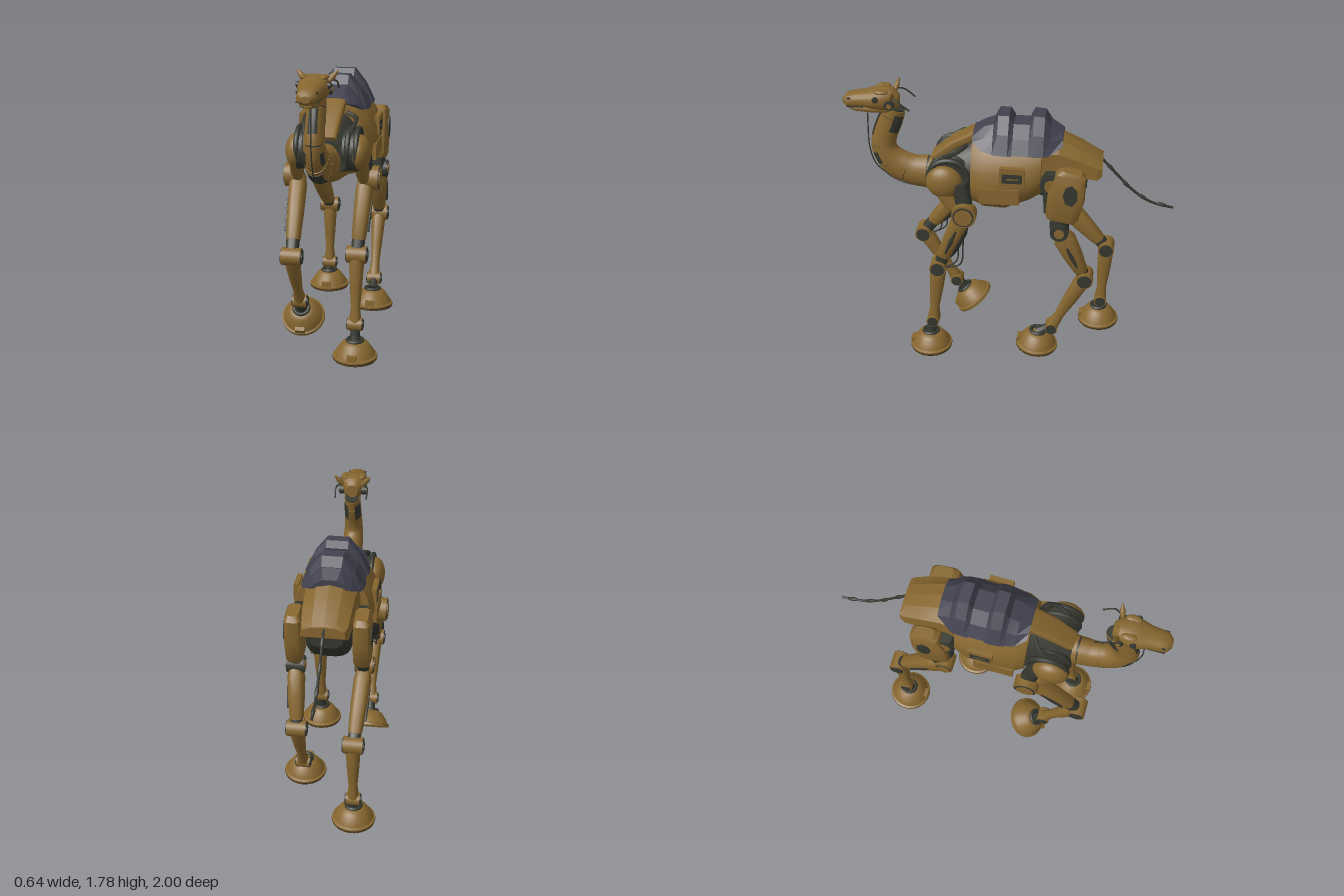
import * as THREE from 'three';
import { toCreasedNormals } from 'three/addons/utils/BufferGeometryUtils.js';

const mat = (name, color) => Object.assign(new THREE.MeshStandardMaterial({ color }), { name });
const V = (x, y, z) => new THREE.Vector3(x, y, z);

export function createModel() {
  const root = new THREE.Group();
  root.name = 'mechanicalCamel';
  const ochre = mat('ochre armour', 0x86662f);
  const dark = mat('dark machinery', 0x35372f);
  const slate = mat('slate hump plates', 0x424250);
  const brown = mat('dark brown sole', 0x3c3020);

  const add = (name, geo, material, parent = root) => {
    const m = new THREE.Mesh(geo, material);
    m.name = name;
    parent.add(m);
    return m;
  };

  // Rounded cross-section; a higher power is boxier, taper narrows the top
  const oval = (power = 2, taper = 0, n = 20) => Array.from({ length: n }, (_, i) => {
    const a = ((i + 0.5) / n) * Math.PI * 2, c = Math.cos(a), s = Math.sin(a);
    const f = v => Math.sign(v) * Math.abs(v) ** (2 / power);
    return [f(c) * (1 - taper * Math.max(0, f(s))), f(s)];
  });
  // Pie slice of a round section, angles in degrees
  const sector = (a0, a1) => [[0, 0], ...Array.from({ length: 7 }, (_, i) => {
    const a = THREE.MathUtils.degToRad(a0 + ((a1 - a0) * i) / 6);
    return [Math.cos(a), Math.sin(a)];
  })];

  // Skin through rings [x, y, z, halfWidth, halfHeight]; upright rings run towards +z
  function loft(rings, prof = oval(), upright = false, crease = 0.6) {
    const pos = [], idx = [], n = prof.length, c = rings.map(r => V(r[0], r[1], r[2]));
    rings.forEach((r, i) => {
      const T = upright ? V(0, 0, 1)
        : c[Math.min(i + 1, c.length - 1)].clone().sub(c[Math.max(i - 1, 0)]).normalize();
      const S = V(1, 0, 0).addScaledVector(T, -T.x).normalize(), N = T.clone().cross(S);
      for (const [u, v] of prof) {
        pos.push(...c[i].clone().addScaledVector(S, u * r[3]).addScaledVector(N, v * r[4]).toArray());
      }
    });
    const last = (rings.length - 1) * n, a = pos.length / 3;
    pos.push(...c[0].toArray(), ...c[c.length - 1].toArray());
    for (let j = 0; j < n; j++) {
      const k = (j + 1) % n;
      for (let i = 0; i < last; i += n) idx.push(i + j, i + k, i + n + j, i + k, i + n + k, i + n + j);
      idx.push(a, k, j, a + 1, last + j, last + k);
    }
    const g = new THREE.BufferGeometry();
    g.setAttribute('position', new THREE.Float32BufferAttribute(pos, 3));
    g.setIndex(idx);
    return toCreasedNormals(g, crease);
  }

  // Straight limb from a to b with stops [t, halfWidth, halfDepth]
  const limb = (name, a, b, stops, material, power = 3) => add(name, loft(stops.map(([t, w, h]) =>
    [...V(...a).lerp(V(...b), t).toArray(), w, h]), oval(power, 0, 16)), material);
  const cable = (name, pts, r) => add(name, new THREE.TubeGeometry(
    new THREE.CatmullRomCurve3(pts.map(p => V(...p))), 24, r, 6), dark);
  const box = (name, w, h, d, p, material) => add(name, new THREE.BoxGeometry(w, h, d), material).position.set(...p);
  // Round joint whose axle runs along x: hub, ring and pin
  const joint = (name, p, r, w, hub, ring, pin, pinSize = 0.5) => {
    const g = new THREE.Group();
    g.name = name;
    g.position.set(...p);
    root.add(g);
    [['Hub', 1, 0, hub], ['Ring', 0.85, 0.01, ring], ['Pin', pinSize, 0.018, pin]].forEach(([part, k, extra, m]) =>
      add(name + part, new THREE.CylinderGeometry(r * k, r * k, w + extra, 24).rotateZ(Math.PI / 2), m, g));
  };

  // Body shell, rump and dark inner frames
  add('bodyShell', loft([
    [0, 1.345, -0.2, 0.22, 0.195], [0, 1.325, -0.13, 0.24, 0.22], [0, 1.295, 0.02, 0.25, 0.26],
    [0, 1.285, 0.15, 0.24, 0.245], [0, 1.285, 0.22, 0.205, 0.215]], oval(2.6, 0.35, 28), true), ochre);
  add('rump', loft([
    [0, 1.335, -0.56, 0.125, 0.035], [0, 1.335, -0.53, 0.14, 0.055], [0, 1.38, -0.42, 0.15, 0.08],
    [0, 1.41, -0.3, 0.155, 0.11], [0, 1.405, -0.19, 0.17, 0.13]],
  [[1, -1], [0.95, 0.3], [0.5, 0.85], [0, 1], [-0.5, 0.85], [-0.95, 0.3], [-1, -1]], true, 0.2), ochre);
  add('pelvis', loft([[0, 1.25, -0.47, 0.1, 0.07], [0, 1.2, -0.36, 0.14, 0.14],
    [0, 1.25, -0.19, 0.17, 0.11]], oval(3), true), dark);
  add('chestFrame', loft([[0, 1.26, 0.2, 0.18, 0.2], [0, 1.25, 0.34, 0.16, 0.16],
    [0, 1.23, 0.47, 0.13, 0.1]], oval(2.5, 0.3), true), dark);
  add('withersPlate', loft([[0, 1.5, 0.2, 0.075, 0.03], [0, 1.43, 0.33, 0.07, 0.03],
    [0, 1.33, 0.46, 0.06, 0.025]], oval(5)), ochre);

  // Hump: five plates, two raised into ridges
  const tent = [[1, -1], [0.72, 0.1], [0.34, 1], [-0.34, 1], [-0.72, 0.1], [-1, -1]];
  [
    [[-0.32, 0.12, 1.48, 1.54], [-0.24, 0.17, 1.44, 1.585]],
    [[-0.245, 0.17, 1.44, 1.585], [-0.21, 0.185, 1.44, 1.64], [-0.145, 0.19, 1.44, 1.645], [-0.122, 0.19, 1.44, 1.6]],
    [[-0.128, 0.183, 1.44, 1.588], [-0.02, 0.183, 1.44, 1.588]],
    [[-0.025, 0.19, 1.44, 1.6], [0, 0.195, 1.44, 1.64], [0.065, 0.19, 1.44, 1.64], [0.092, 0.185, 1.44, 1.585]],
    [[0.085, 0.182, 1.44, 1.585], [0.15, 0.17, 1.45, 1.562], [0.215, 0.13, 1.49, 1.53]],
  ].forEach((seg, i) => add('humpPlate' + (i + 1), loft(
    seg.map(([z, w, lo, hi]) => [0, (lo + hi) / 2, z, w, (hi - lo) / 2]), tent, true, 0.2), slate));

  // Neck: dark core under armour sleeves
  const neck = [
    [0.69, 1.64, 0.05, 0.065], [0.72, 1.56, 0.052, 0.075], [0.76, 1.46, 0.055, 0.075],
    [0.775, 1.38, 0.06, 0.077], [0.75, 1.31, 0.065, 0.085], [0.69, 1.25, 0.07, 0.098],
    [0.6, 1.215, 0.076, 0.1], [0.48, 1.205, 0.088, 0.11], [0.35, 1.17, 0.11, 0.12],
    [0.18, 1.155, 0.15, 0.12]].map(([z, y, w, h]) => [0, y, z, w, h]);
  const sample = t => {
    const i = Math.min(Math.floor(t), neck.length - 2), f = t - i;
    return neck[i].map((_, k) => {
      const [p, a, b, q] = [-1, 0, 1, 2].map(o => neck[THREE.MathUtils.clamp(i + o, 0, neck.length - 1)][k]);
      return a + 0.5 * f * (b - p + f * (2 * p - 5 * a + 4 * b - q + f * (3 * (a - b) + q - p)));
    });
  };
  const sleeve = (name, t0, t1, scale, material, prof = oval()) => add(name, loft(Array.from({ length: 13 }, (_, i) => {
    const r = sample(t0 + ((t1 - t0) * i) / 12);
    return [r[0], r[1], r[2], r[3] * scale, r[4] * scale];
  }), prof), material);
  sleeve('neckCore', 0, 9, 0.93, dark);
  [[0.15, 0.8], [0.86, 2.9], [2.93, 4.4], [4.43, 5.55], [5.58, 6.75], [6.79, 9]]
    .forEach(([a, b], i) => sleeve('neckSleeve' + (i + 1), a, b, 1, ochre));
  sleeve('throatPatch', 0.7, 2.3, 1.04, dark, sector(62, 118));
  sleeve('breastPatch', 4.6, 6, 1.03, dark, sector(55, 125));
  for (const [a, b] of [[195, 245], [295, 345]]) sleeve('napePatch', 0.5, 1.6, 1.04, dark, sector(a, b));
  for (const [a, b] of [[25, 50], [130, 155]]) sleeve('throatSidePatch', 3.3, 4.1, 1.03, dark, sector(a, b));
  cable('throatCable', [[0, 1.62, 0.86], [0, 1.5, 0.865], [0, 1.36, 0.865], [0, 1.24, 0.83], [0, 1.16, 0.74]], 0.004);

  // Head
  add('skull', loft([[0, 1.68, 0.665, 0.035, 0.04], [0, 1.69, 0.7, 0.068, 0.065], [0, 1.695, 0.76, 0.085, 0.072],
    [0, 1.69, 0.82, 0.083, 0.06], [0, 1.685, 0.87, 0.068, 0.05], [0, 1.68, 0.93, 0.063, 0.048],
    [0, 1.675, 0.975, 0.055, 0.04], [0, 1.67, 1, 0.025, 0.018]], oval(2.4), true), ochre);
  add('jaw', loft([[0, 1.635, 0.72, 0.05, 0.03], [0, 1.63, 0.82, 0.052, 0.028],
    [0, 1.632, 0.93, 0.048, 0.022], [0, 1.637, 0.97, 0.03, 0.014]], oval(2.5), true), ochre);
  box('mouthLine', 0.118, 0.006, 0.1, [0, 1.65, 0.92], dark);
  for (const s of [-1, 1]) {
    joint('eye', [s * 0.078, 1.71, 0.79], 0.018, 0.02, dark, dark, dark);
    add('brow', new THREE.SphereGeometry(1, 16, 10).scale(0.024, 0.014, 0.045), ochre)
      .position.set(s * 0.055, 1.75, 0.76);
    joint('cheekDisc', [s * 0.072, 1.675, 0.71], 0.03, 0.02, dark, dark, ochre);
    box('nostril', 0.008, 0.01, 0.025, [s * 0.053, 1.7, 0.955], dark);
    limb('ear', [s * 0.06, 1.71, 0.7], [s * 0.113, 1.775, 0.68],
      [[0, 0.012, 0.012], [0.5, 0.018, 0.016], [1, 0.004, 0.004]], ochre, 2);
    cable('earSpike', [[s * 0.065, 1.73, 0.7], [s * 0.1, 1.71, 0.65], [s * 0.1, 1.66, 0.585]], 0.005);
  }

  // Flanks, shoulders and thighs, mirrored
  for (const s of [-1, 1]) {
    box('flankHatch', 0.03, 0.115, 0.15, [s * 0.235, 1.33, -0.035], ochre);
    box('hatchVent', 0.008, 0.06, 0.12, [s * 0.2475, 1.322, -0.035], dark);
    box('ventSlat', 0.008, 0.008, 0.07, [s * 0.249, 1.32, -0.035], ochre);
    box('lowerFlankBox', 0.035, 0.1, 0.24, [s * 0.233, 1.195, 0.045], ochre);
    joint('shoulderDrum', [s * 0.135, 1.25, 0.36], 0.12, 0.08, dark, dark, dark);
    add('shoulderShield', new THREE.SphereGeometry(1, 28, 18).scale(0.065, 0.105, 0.11), ochre)
      .position.set(s * 0.187, 1.245, 0.38);
    for (const x of [0.125, 0.175]) {
      add('shoulderRing', new THREE.TorusGeometry(0.12, 0.016, 8, 32).rotateY(Math.PI / 2), dark)
        .position.set(s * x, 1.26, 0.355);
    }
    limb('shoulderArm', [s * 0.2, 1.25, 0.285], [s * 0.215, 1.06, 0.25],
      [[0, 0.035, 0.045], [0.6, 0.035, 0.05], [1, 0.035, 0.05]], dark);
    limb('shoulderBrace', [s * 0.19, 1.22, 0.42], [s * 0.2, 1.06, 0.3],
      [[0, 0.035, 0.04], [0.6, 0.04, 0.045], [1, 0.03, 0.035]], ochre);
    cable('shoulderCable', [[s * 0.09, 1.45, 0.25], [s * 0.15, 1.43, 0.3], [s * 0.12, 1.32, 0.45], [s * 0.11, 1.16, 0.44]], 0.014);
    joint('elbow', [s * 0.245, 1.06, 0.255], 0.075, 0.075, ochre, dark, ochre, 0.72);
    joint('hipDrum', [s * 0.175, 1.27, -0.265], 0.07, 0.09, dark, dark, ochre, 0.6);
    limb('hipLink', [s * 0.19, 1.34, -0.25], [s * 0.19, 1.08, -0.25], [[0, 0.03, 0.03], [0.5, 0.03, 0.035], [1, 0.03, 0.03]], dark);
    limb('thigh', [s * 0.2, 1.37, -0.385], [s * 0.2, 1.04, -0.325],
      [[0, 0.035, 0.06], [0.08, 0.05, 0.09], [0.5, 0.056, 0.112], [0.92, 0.053, 0.1], [1, 0.045, 0.085]], ochre, 4.5);
    add('thighPatch', new THREE.CylinderGeometry(0.07, 0.07, 0.008, 7).rotateZ(Math.PI / 2).scale(1, 1, 0.65), dark)
      .position.set(s * 0.255, 1.23, -0.38);
    limb('stifleLink', [s * 0.2, 1.06, -0.33], [s * 0.2, 0.97, -0.3], [[0, 0.04, 0.07], [1, 0.038, 0.045]], dark);
  }

  // Foot: flared bell with toe block and collar; a raised foot shows its hollow underside
  function foot(x, y, z, tilt, hollow) {
    const g = new THREE.Group();
    g.name = 'foot';
    g.position.set(x, y, z);
    g.rotation.x = tilt;
    root.add(g);
    const bell = [[0.001, 0.03], [0.09, 0.024], [0.12, 0.004], [0.134, 0.004], [0.134, 0.024], [0.122, 0.03], [0.114, 0.05],
      [0.08, 0.098], [0.055, 0.112], [0.001, 0.114]];
    add('hoofBell', toCreasedNormals(new THREE.LatheGeometry(bell.map(p => new THREE.Vector2(...p)), 36), 0.5), ochre, g);
    if (hollow) add('soleHub', new THREE.TorusGeometry(0.05, 0.012, 8, 24).rotateX(Math.PI / 2), dark, g).position.y = 0.026;
    else add('sole', new THREE.CylinderGeometry(0.136, 0.132, 0.014, 36), brown, g).position.y = 0.007;
    add('toeBlock', new THREE.BoxGeometry(0.06, 0.035, 0.04), ochre, g).position.set(0, 0.045, 0.11);
    add('ankleCollar', new THREE.TorusGeometry(0.045, 0.012, 8, 24).rotateX(Math.PI / 2), dark, g).position.y = 0.115;
  }

  // Legs: side, front?, then [z, y] of top, knee, ankle and foot, then foot tilt
  [
    [1, true, [0.255, 1.06], [0.435, 0.635], [0.485, 0.21], [0.505, 0], 0],
    [-1, true, [0.255, 1.06], [0.59, 0.655], [0.38, 0.29], [0.26, 0.13], 0.67],
    [1, false, [-0.32, 0.965], [-0.485, 0.61], [-0.285, 0.21], [-0.19, 0.055], -0.075],
    [-1, false, [-0.27, 0.965], [-0.61, 0.61], [-0.59, 0.19], [-0.58, 0.018], 0],
  ].forEach(([s, front, top, knee, ankle, ft, tilt]) => {
    const at = (x, [z, y], dz = 0) => [s * x, y, z + dz];
    const a = at(0.205, top), k = at(0.18, knee), e = at(0.18, ankle);
    limb('upperLegCore', a, k, [[0, 0.04, 0.04], [0.7, 0.04, 0.04], [1, 0.036, 0.036]], dark);
    limb('upperLeg', a, k, front
      ? [[0.02, 0.045, 0.045], [0.15, 0.052, 0.058], [0.5, 0.048, 0.052], [0.78, 0.042, 0.044], [0.83, 0.036, 0.036]]
      : [[0.05, 0.04, 0.045], [0.2, 0.052, 0.068], [0.5, 0.05, 0.06], [0.82, 0.042, 0.042], [0.88, 0.036, 0.036]], ochre);
    limb('upperLegInlay', at(0.254, top), at(0.231, knee),
      [[0.3, 0.005, 0.006], [0.5, 0.007, 0.014], [0.7, 0.007, 0.006]], dark);
    joint('knee', k, 0.052, 0.115, ochre, dark, dark);
    limb('lowerLeg', k, e, [[0, 0.04, 0.045], [0.12, 0.044, 0.05], [0.45, 0.036, 0.042],
      [0.75, 0.027, 0.03], [0.9, 0.034, 0.036], [1, 0.036, 0.036]], ochre, 2.6);
    joint('ankle', e, 0.04, 0.085, ochre, dark, dark);
    limb('anklePost', e, at(0.183, [ft[0] + 0.105 * Math.sin(tilt), ft[1] + 0.105 * Math.cos(tilt)]),
      [[0, 0.034, 0.034], [0.5, 0.028, 0.028], [1, 0.036, 0.036]], dark, 2);
    if (front) {
      const [z, y] = knee;
      limb('rearPanel', at(0.2, top, -0.03), at(0.18, knee, -0.03),
        [[0.22, 0.03, 0.03], [0.35, 0.042, 0.045], [0.65, 0.038, 0.04], [0.8, 0.025, 0.025]], dark);
      for (const d of [0, 0.03]) {
        cable('legCable', [[s * (0.16 + d), 0.98, 0.27], [s * (0.17 + d), 0.8, z - 0.13 - d],
          [s * (0.17 + d), y + 0.03, z - 0.11 - d], [s * 0.18, y - 0.02, z - 0.03]], 0.005);
      }
    } else joint('stifle', at(0.205, top), 0.056, 0.1, s > 0 ? dark : ochre, dark, ochre, s > 0 ? 0.55 : 0.78);
    foot(s * 0.183, ft[1], ft[0], tilt, tilt > 0.3);
  });

  // Tail: thin jointed cord
  cable('tail', [[0, 1.36, -0.55], [0, 1.25, -0.65], [0, 1.14, -0.76], [0, 1.075, -0.86], [0, 1.04, -1]], 0.008);
  [[1.3, -0.605, 0.8], [1.19, -0.705, 0.8], [1.105, -0.81, 0.6], [1.058, -0.93, 0.3]].forEach(([y, z, r]) => {
    const m = add('tailLink', new THREE.SphereGeometry(1, 12, 8).scale(0.012, 0.012, 0.04), dark);
    m.position.set(0, y, z);
    m.rotation.x = -r;
  });
  return root;
}
